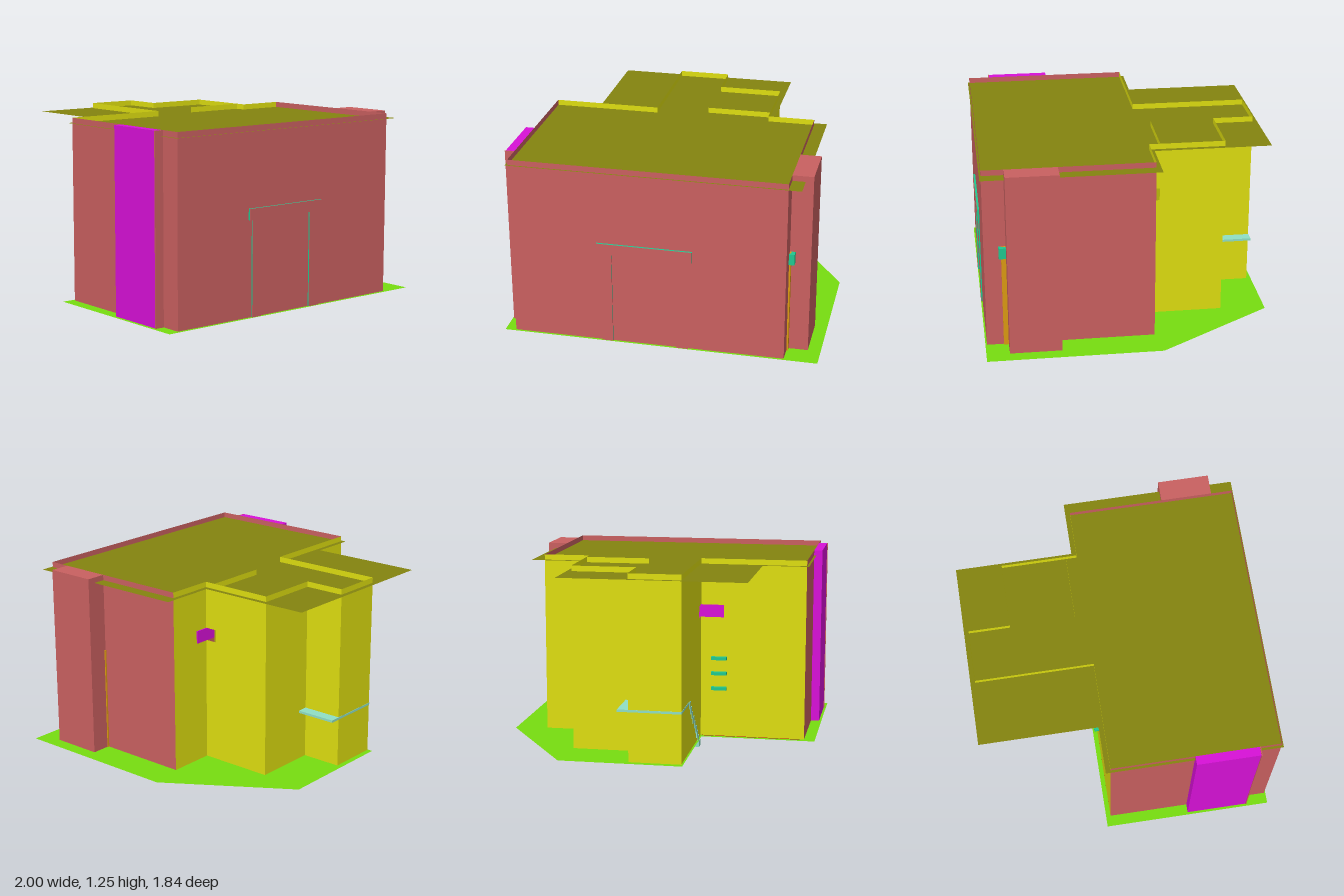
import * as THREE from 'three';

const FLOOR = 0.08, TOP = 1.25, CEILING = 1.215;
const paint = (color) => new THREE.MeshStandardMaterial({ color, side: THREE.DoubleSide });
const red = paint(0xc96060), yellow = paint(0xdede10), olive = paint(0x84840f), green = paint(0x77dd10);
const purple = paint(0xd811d8), teal = paint(0x20c890), aqua = paint(0x90dfc4), orange = paint(0xdc9a12), darkRed = paint(0xc01818);

export function createModel() {
  const model = new THREE.Group();

  function add(name, geometry, material, parent = model) {
    const mesh = new THREE.Mesh(geometry, material);
    mesh.name = name;
    parent.add(mesh);
    return mesh;
  }

  // box given by its ranges in x, y and z
  function box(name, material, [x0, x1], [y0, y1], [z0, z1], parent) {
    const mesh = add(name, new THREE.BoxGeometry(x1 - x0, y1 - y0, z1 - z0), material, parent);
    mesh.position.set((x0 + x1) / 2, (y0 + y1) / 2, (z0 + z1) / 2);
    return mesh;
  }

  // thin upright wall between two plan points
  function wall(name, material, [ax, az], [bx, bz], y0 = FLOOR, y1 = TOP) {
    const mesh = add(name, new THREE.PlaneGeometry(Math.hypot(bx - ax, bz - az), y1 - y0), material);
    mesh.position.set((ax + bx) / 2, (y0 + y1) / 2, (az + bz) / 2);
    mesh.rotation.y = -Math.atan2(bz - az, bx - ax);
  }

  // thin level slab from a plan outline of [x, z] points
  function slab(name, material, y, outline) {
    const shape = new THREE.Shape(outline.map(([x, z]) => new THREE.Vector2(x, -z)));
    const mesh = add(name, new THREE.ShapeGeometry(shape).rotateX(-Math.PI / 2), material);
    mesh.position.y = y;
  }

  // floor and ceiling
  slab('floor', green, FLOOR - 0.003, [[-1, 0.915], [1, 0.915], [1, -0.18], [0.52, -0.92],
    [-0.26, -0.92], [-0.26, -0.18], [-1, -0.18]]);
  slab('ceiling', olive, CEILING, [[-0.945, 0.915], [0.87, 0.915], [0.87, -0.18], [0.52, -0.18],
    [0.52, -0.92], [-0.65, -0.92], [-0.65, -0.18], [-0.945, -0.18]]);

  // red walls of the main room
  const main = [[-0.93, -0.15], [-0.93, 0.905], [0.79, 0.905], [0.79, -0.15]];
  for (let i = 0; i < 3; i++) wall('mainWall', red, main[i], main[i + 1]);

  // yellow walls around the rear wing
  const rear = [[-0.25, -0.23], [-0.25, -0.89], [0.08, -0.89], [0.08, -0.63], [0.49, -0.63], [0.49, -0.23]];
  for (let i = 0; i < 5; i++) wall('rearWall', yellow, rear[i], rear[i + 1]);
  wall('backWall', yellow, [-0.93, -0.15], [-0.25, -0.15]);
  wall('backWall', yellow, [0.49, -0.15], [0.79, -0.15]);
  wall('partition', yellow, [0.08, -0.22], [0.49, -0.22]);

  // gaps in the wing's side walls and the band that runs through them
  for (const x of [-0.25, 0.49]) {
    wall('wallBelowGap', yellow, [x, -0.15], [x, -0.23], FLOOR, 0.87);
    wall('wallAboveGap', yellow, [x, -0.15], [x, -0.23], 0.95, TOP);
  }
  box('windowBand', purple, [-0.4, 0.58], [0.87, 0.95], [-0.158, -0.15]);

  // projections on the two sides
  box('sideBay', red, [0.79, 0.92], [FLOOR, TOP], [0.445, 0.77]);
  box('sidePanel', purple, [-0.985, -0.93], [FLOOR, TOP], [0.37, 0.765]);
  box('sidePanelFront', red, [-0.99, -0.93], [FLOOR, TOP], [0.766, 0.772]);
  box('bayPost', orange, [0.79, 0.8], [FLOOR, 0.75], [0.77, 0.8]);
  box('bayPost', orange, [0.79, 0.8], [FLOOR, 0.75], [0.438, 0.445]);
  box('bayBracket', teal, [0.79, 0.825], [0.68, 0.75], [0.77, 0.815]);

  // front door surround with teal edges and red faces
  const door = new THREE.Group();
  door.name = 'frontDoor';
  model.add(door);
  const trims = [['post', -0.36, -0.29, FLOOR, 0.68], ['post', 0.11, 0.19, FLOOR, 0.68], ['lintel', -0.385, 0.215, 0.68, 0.75]];
  for (const [name, x0, x1, y0, y1] of trims) {
    const depth = name === 'lintel' ? 0.92 : 0.915;
    box(name, teal, [x0, x1], [y0, y1], [0.9, depth - 0.002], door);
    box(name + 'Face', red, [x0, x1], [y0, y1], [depth - 0.002, depth], door);
  }

  // rungs on the back wall
  for (const y of [0.4, 0.5, 0.6]) box('rung', teal, [-0.42, -0.32], [y - 0.01, y + 0.01], [-0.18, -0.15]);

  // stairs climbing to a landing in the wing
  const stairs = new THREE.Group();
  stairs.name = 'stairs';
  model.add(stairs);
  const steps = 9, run = 0.43 / steps, rise = 0.385 / steps;
  for (let i = 0; i < steps; i++) {
    const z = -0.19 - i * run, y = 0.02 + i * rise;
    box('step', aqua, [-0.254, 0.06], [y, y + rise], [z - run, z], stairs);
  }
  box('landing', aqua, [-0.252, 0.15], [0.395, 0.41], [-0.892, -0.62], stairs);

  // parts reaching under the floor
  box('stairPost', darkRed, [0.07, 0.085], [0, FLOOR], [-0.19, -0.175]);
  box('backSill', darkRed, [-0.9, -0.26], [0.07, FLOOR], [-0.15, -0.11]);
  box('floorTray', olive, [-0.87, -0.28], [0.065, FLOOR], [0.13, 0.26]);

  return model;
}
